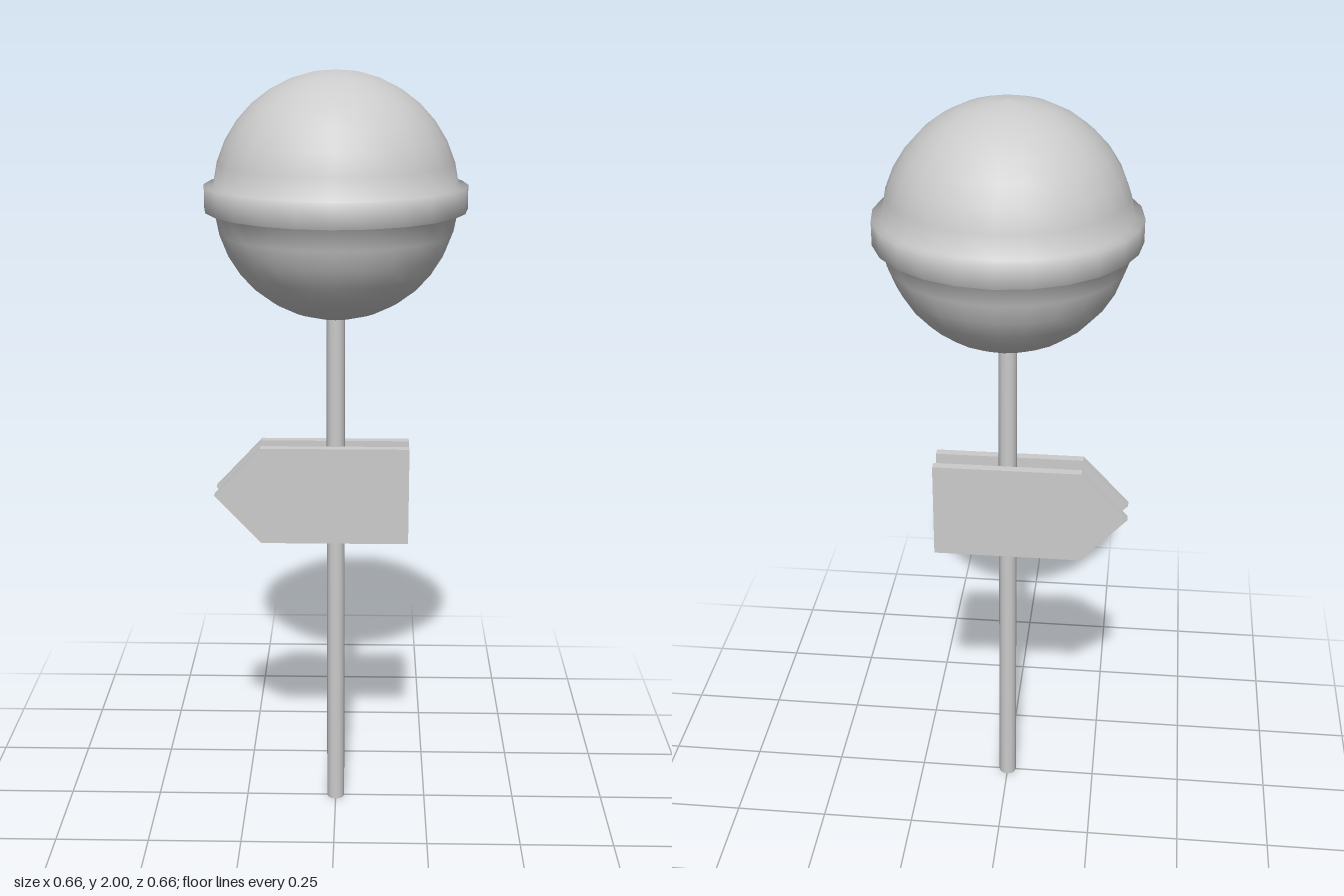
import * as THREE from 'three';

export function createModel() {
  const group = new THREE.Group();
  const material = new THREE.MeshStandardMaterial({ color: 0xcccccc });
  const add = (name, geometry, x = 0, y = 0, z = 0) => {
    const mesh = new THREE.Mesh(geometry, material);
    mesh.name = name;
    mesh.position.set(x, y, z);
    group.add(mesh);
    return mesh;
  };

  // Round pole from the ground into the globe
  add('pole', new THREE.CylinderGeometry(0.024, 0.024, 1.42, 12), 0, 0.71, 0);

  // Globe with a raised belt, turned as one smooth profile
  const radius = 0.308, belt = 0.33, half = 0.03, rings = 8;
  const edge = Math.asin(half / radius);
  const profile = [];
  for (let i = 0; i <= rings; i++) {
    const a = -Math.PI / 2 + (Math.PI / 2 - edge) * i / rings;
    profile.push(new THREE.Vector2(i === 0 ? 0 : radius * Math.cos(a), radius * Math.sin(a)));
  }
  profile.push(new THREE.Vector2(belt, -half), new THREE.Vector2(belt, half));
  for (let i = rings; i >= 0; i--) {
    const a = Math.PI / 2 - (Math.PI / 2 - edge) * i / rings;
    profile.push(new THREE.Vector2(i === 0 ? 0 : radius * Math.cos(a), radius * Math.sin(a)));
  }
  add('globe', new THREE.LatheGeometry(profile, 24), 0, 1.692, 0);

  // Pair of arrow boards, one on each side of the pole
  const arrow = new THREE.Shape([
    new THREE.Vector2(0.193, 0.78),
    new THREE.Vector2(0.193, 1.043),
    new THREE.Vector2(-0.197, 1.043),
    new THREE.Vector2(-0.32, 0.912),
    new THREE.Vector2(-0.197, 0.78),
  ]);
  const board = new THREE.ExtrudeGeometry(arrow, { depth: 0.024, bevelEnabled: false });
  add('frontArrowBoard', board, 0, 0, 0.019);
  add('backArrowBoard', board, 0, 0, -0.055);

  return group;
}
